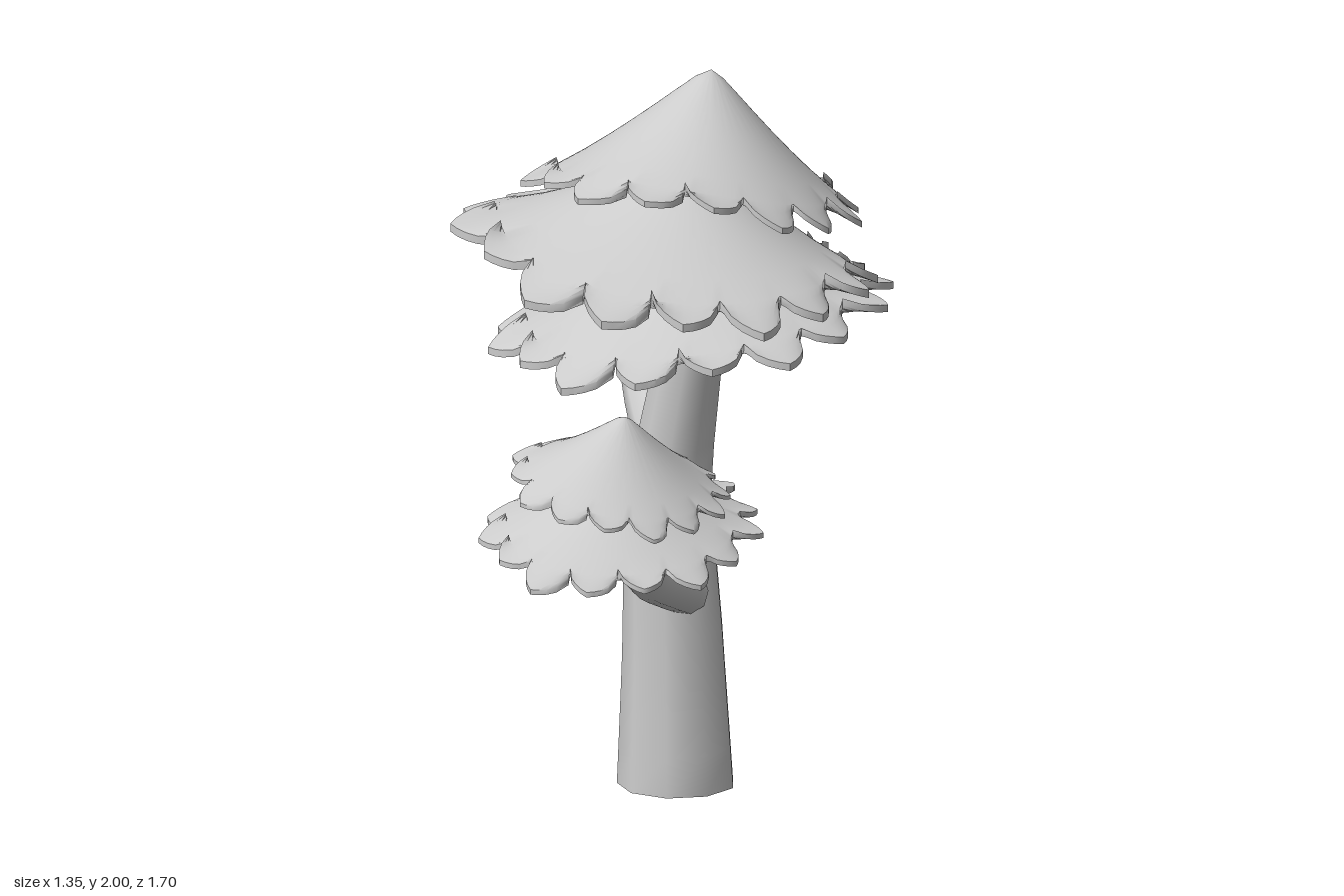
import * as THREE from 'three';
import { toCreasedNormals } from 'three/addons/utils/BufferGeometryUtils.js';

const material = new THREE.MeshStandardMaterial({ color: 0xcccccc, side: THREE.DoubleSide });

function add(parent, name, geometry) {
  const mesh = new THREE.Mesh(geometry, material);
  mesh.name = name;
  parent.add(mesh);
}

// Tapered open tube along a smooth path; radii are spread evenly over its length
function limb(points, radii, sides, rings) {
  const curve = new THREE.CatmullRomCurve3(points.map((p) => new THREE.Vector3(...p)));
  const geo = new THREE.TubeGeometry(curve, rings, 1, sides);
  const pos = geo.attributes.position;
  const v = new THREE.Vector3();
  for (let i = 0; i <= rings; i++) {
    const c = curve.getPointAt(i / rings);
    const f = (i / rings) * (radii.length - 1);
    const k = Math.min(Math.floor(f), radii.length - 2);
    const r = THREE.MathUtils.lerp(radii[k], radii[k + 1], f - k);
    for (let j = 0; j <= sides; j++) {
      const n = i * (sides + 1) + j;
      v.fromBufferAttribute(pos, n).sub(c).multiplyScalar(r).add(c);
      pos.setXYZ(n, v.x, i === 0 && c.y === 0 ? 0 : v.y, v.z);
    }
  }
  return toCreasedNormals(geo, 1.2);
}

// Bell-shaped leaf layer: a smooth dome with short pointed petals around its rim.
// center: middle of the rim, slope: rise of the rim per unit x and z,
// twist: saddle warp of the rim, lean: shift of the peak from the middle
function leafLayer({ center, rx, rz, height, petals = 16, slope = [0, 0], twist = 0, lean = [0, 0], turn = 0 }) {
  const stepsU = 8, notch = 0.8;
  const levels = [0, 0.08, 0.17, 0.28, 0.4, 0.53, 0.67, notch, 0.87, 0.94, 1];
  const stepsT = levels.length - 1, cols = petals * (stepsU + 1);
  const size = Math.max(rx, rz), thick = size * 0.035;
  const position = [], index = [];
  for (let side = 0; side < 2; side++) {
    for (let c = 0; c < cols; c++) {
      const petal = Math.floor(c / (stepsU + 1));
      const u = (c % (stepsU + 1)) / stepsU;
      // petal outline, with lengths varied a little
      const grow = 0.97 + 0.03 * Math.sin(petal * 2.4 + turn);
      const bump = 0.55 * Math.sin(Math.PI * u) ** 0.5 + 0.45 * (1 - Math.abs(2 * u - 1));
      const reach = THREE.MathUtils.lerp(notch + 0.01, grow, bump);
      levels.forEach((t) => {
        const edge = Math.max(0, (t - notch) / (1 - notch));
        const d = t <= notch ? t : notch + edge * (reach - notch);
        const a = ((petal + 0.5 + (u - 0.5) * (1 - 0.04 * edge)) / petals) * Math.PI * 2 + turn;
        const x = Math.cos(a) * rx * d, z = Math.sin(a) * rz * d;
        const bell = Math.max(0, 1.05 - Math.sqrt(d * d + 0.002)) ** 1.35;
        const y = height * bell + slope[0] * x + slope[1] * z + twist * Math.sin(2 * a) * d * d
          + edge * size * (0.06 * (u - 0.5) + 0.025 * Math.sin(petal * 1.9 + turn))
          - (side ? thick : 0);
        position.push(center[0] + x + lean[0] * (1 - d), center[1] + y, center[2] + z + lean[1] * (1 - d));
      });
    }
  }
  const at = (side, c, s) => (side * cols + (c % cols)) * (stepsT + 1) + s;
  // skips triangles that collapse at the peak
  const tri = (...t) => t.filter((n) => n % (stepsT + 1) === 0).length < 2 && index.push(...t);
  const quad = (a, b, c, d) => { tri(a, c, b); tri(a, d, c); };
  for (let c = 0; c < cols; c++) {
    const gap = c % (stepsU + 1) === stepsU;
    for (let s = 0; s < stepsT; s++) {
      // between petals only the raised edges need joining
      if (gap && levels[s + 1] <= notch) continue;
      quad(at(0, c, s), at(0, c + 1, s), at(0, c + 1, s + 1), at(0, c, s + 1));
      quad(at(1, c, s), at(1, c, s + 1), at(1, c + 1, s + 1), at(1, c + 1, s));
    }
    quad(at(0, c, stepsT), at(0, c + 1, stepsT), at(1, c + 1, stepsT), at(1, c, stepsT));
  }
  const geo = new THREE.BufferGeometry();
  geo.setAttribute('position', new THREE.Float32BufferAttribute(position, 3));
  geo.setIndex(index);
  return toCreasedNormals(geo, 0.8);
}

export function createModel() {
  const tree = new THREE.Group();
  tree.name = 'tree';

  // Trunk
  add(tree, 'trunk', limb(
    [[0.148, 0, 0.025], [0.142, 0.4, 0.022], [0.132, 0.8, 0.02], [0.142, 1.1, 0.075], [0.155, 1.35, 0.125], [0.16, 1.62, 0.14]],
    [0.16, 0.142, 0.127, 0.105, 0.086, 0.06], 9, 15));

  // Branches
  add(tree, 'frontBranch', limb(
    [[0.13, 0.55, 0.11], [0.01, 0.61, 0.22], [-0.13, 0.69, 0.33], [-0.22, 0.81, 0.41], [-0.28, 1.0, 0.46]],
    [0.06, 0.06, 0.058, 0.054, 0.045], 9, 14));
  add(tree, 'backBranch', limb(
    [[0.17, 0.79, -0.05], [0.23, 0.87, -0.2], [0.3, 0.98, -0.4], [0.355, 1.11, -0.53], [0.39, 1.35, -0.59]],
    [0.08, 0.07, 0.062, 0.055, 0.04], 9, 14));
  add(tree, 'backTwig', limb(
    [[0.34, 1.07, -0.5], [0.42, 1.055, -0.56], [0.49, 1.08, -0.6], [0.52, 1.17, -0.62]],
    [0.03, 0.024, 0.022, 0.016], 8, 10));

  // Foliage, from the top layer of each crown down
  const crowns = {
    mainCrown: [
      { center: [0.125, 1.665, 0.145], rx: 0.465, rz: 0.475, height: 0.335, petals: 15, slope: [-0.15, 0.04], twist: -0.03, lean: [0.06, 0], turn: 0.1 },
      { center: [0.04, 1.475, 0.145], rx: 0.565, rz: 0.63, height: 0.32, slope: [-0.12, -0.04], twist: 0.045, lean: [0.09, 0], turn: 0.3 },
      { center: [0.145, 1.31, 0.11], rx: 0.565, rz: 0.525, height: 0.28, slope: [0.13, 0], lean: [0.02, 0], turn: 0.2 },
    ],
    frontCrown: [
      { center: [-0.29, 0.985, 0.465], rx: 0.31, rz: 0.3, height: 0.21, petals: 14, slope: [-0.03, -0.23], lean: [-0.01, 0.05], turn: 0.2 },
      { center: [-0.3, 0.87, 0.495], rx: 0.4, rz: 0.355, height: 0.2, petals: 15, slope: [0.1, -0.2], lean: [0, 0.03] },
    ],
    backCrown: [
      { center: [0.39, 1.34, -0.585], rx: 0.205, rz: 0.2, height: 0.13, slope: [-0.08, 0.06] },
      { center: [0.39, 1.245, -0.585], rx: 0.26, rz: 0.265, height: 0.13, slope: [-0.08, 0.05], turn: 0.2 },
    ],
    smallCrown: [
      { center: [0.525, 1.165, -0.63], rx: 0.092, rz: 0.092, height: 0.065, petals: 14, slope: [-0.15, 0.1] },
      { center: [0.515, 1.11, -0.63], rx: 0.122, rz: 0.135, height: 0.06, petals: 14, slope: [-0.1, 0.05], turn: 0.2 },
    ],
  };
  for (const [name, layers] of Object.entries(crowns)) {
    const crown = new THREE.Group();
    crown.name = name;
    layers.forEach((layer, i) => add(crown, `leafLayer${i + 1}`, leafLayer(layer)));
    tree.add(crown);
  }
  return tree;
}
